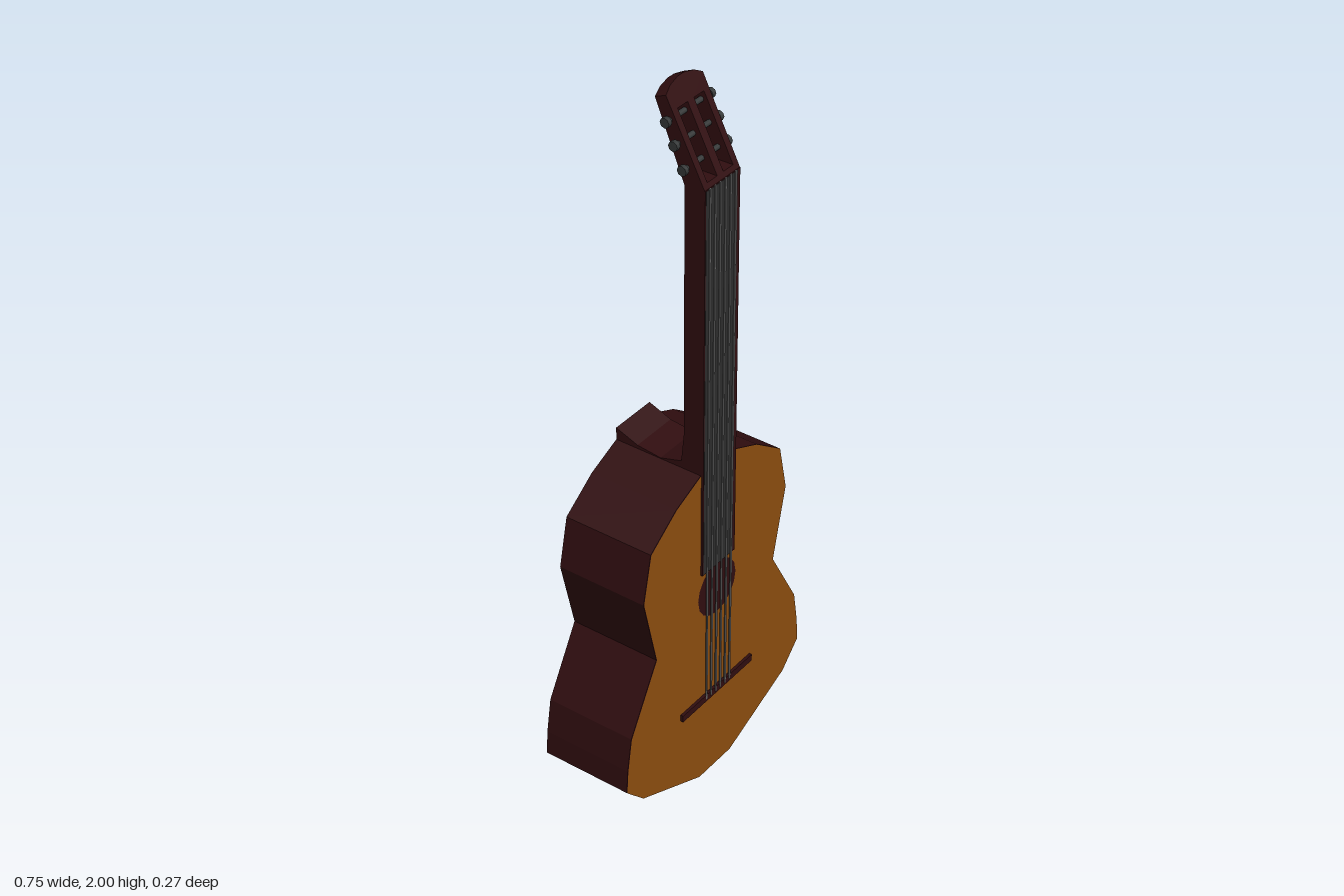
import * as THREE from 'three';

const mat = (name, color, side = THREE.FrontSide) => {
  const m = new THREE.MeshStandardMaterial({ color, side });
  m.name = name;
  return m;
};

export function createModel() {
  const guitar = new THREE.Group();
  guitar.name = 'guitar';
  const darkWood = mat('dark red wood', 0x310e10);
  const topWood = mat('amber wood', 0x8c4d0f);
  const boardGrey = mat('fretboard grey', 0x2d2d2d);
  const stringGrey = mat('string grey', 0x626262);
  const pegGrey = mat('peg grey', 0x353838);

  const add = (name, geometry, material, x = 0, y = 0, z = 0) => {
    const mesh = new THREE.Mesh(geometry, material);
    mesh.name = name;
    mesh.position.set(x, y, z);
    guitar.add(mesh);
    return mesh;
  };
  const shapeOf = (pts) => new THREE.Shape(pts.map(([x, y]) => new THREE.Vector2(x, y)));
  const mirrored = (half) => [...half, ...half.slice().reverse().map(([x, y]) => [-x, y])];
  const extrude = (shape, depth) => new THREE.ExtrudeGeometry(shape, { depth, bevelEnabled: false });

  // Body with a faceted waisted outline
  const outline = shapeOf(mirrored([
    [0.068, 0], [0.31, 0.105], [0.376, 0.172], [0.371, 0.24], [0.355, 0.335],
    [0.25, 0.52], [0.3, 0.725], [0.27, 0.86], [0.168, 0.932], [0.068, 0.975],
  ]));
  add('body', extrude(outline, 0.255), darkWood, 0, 0, -0.135);
  add('soundboard', new THREE.ShapeGeometry(outline), topWood, 0, 0, 0.122);
  add('soundHole', new THREE.CircleGeometry(0.08, 16), darkWood, 0, 0.592, 0.1235);
  add('bridge', new THREE.BoxGeometry(0.302, 0.02, 0.01), darkWood, 0, 0.262, 0.125);

  // Neck and heel: side profile (z, y) swept across the width
  const neck = extrude(shapeOf([
    [0.121, 0.95], [0.121, 1.77], [0.07, 1.77], [0.07, 1.08], [0.062, 0.995],
    [0, 0.977], [-0.07, 0.985], [-0.135, 1.01], [-0.135, 0.95],
  ]), 0.136);
  neck.rotateY(-Math.PI / 2).translate(0.068, 0, 0);
  add('neck', neck, darkWood);
  add('fretboard', new THREE.BoxGeometry(0.136, 1.1, 0.007), darkWood, 0, 1.22, 0.1245);
  add('fretboardFace', new THREE.BoxGeometry(0.122, 1.095, 0.001), boardGrey, -0.004, 1.22, 0.1282);

  // Six strings from nut to bridge
  for (let i = 0; i < 6; i++) {
    add('string', new THREE.BoxGeometry(0.006, 1.51, 0.003), stringGrey, -0.05 + i * 0.02, 1.015, 0.1295);
  }

  // Slotted headstock, leaned back and thinned towards the tip
  const head = shapeOf(mirrored([[0.068, 1.767], [0.07, 1.98], [0.045, 1.993], [0.012, 2]]));
  for (const s of [-1, 1]) {
    head.holes.push(new THREE.Path([[0.012, 1.782], [0.05, 1.782], [0.05, 1.945], [0.012, 1.945]]
      .map(([x, y]) => new THREE.Vector2(s * x, y))));
  }
  const headGeo = extrude(head, 1);
  const p = headGeo.attributes.position;
  for (let i = 0; i < p.count; i++) {
    const t = (p.getY(i) - 1.767) / 0.233;
    const front = p.getZ(i) > 0.5;
    p.setZ(i, front ? 0.128 - 0.118 * t : 0.07 - 0.088 * t);
    if (!front) p.setY(i, p.getY(i) - 0.013 * t);
  }
  headGeo.computeVertexNormals();
  add('headstock', headGeo, darkWood);

  // Tuning rollers with a knob at each end
  for (const y of [1.815, 1.87, 1.922]) {
    const z = 0.099 - 0.103 * (y - 1.767) / 0.233;
    add('tuningRoller', new THREE.CylinderGeometry(0.007, 0.007, 0.17, 8).rotateZ(Math.PI / 2), pegGrey, 0, y, z);
    for (const s of [-1, 1]) {
      add('tuningKnob', new THREE.CylinderGeometry(0.013, 0.013, 0.012, 8).rotateZ(Math.PI / 2), pegGrey, s * 0.084, y, z);
    }
  }
  return guitar;
}
